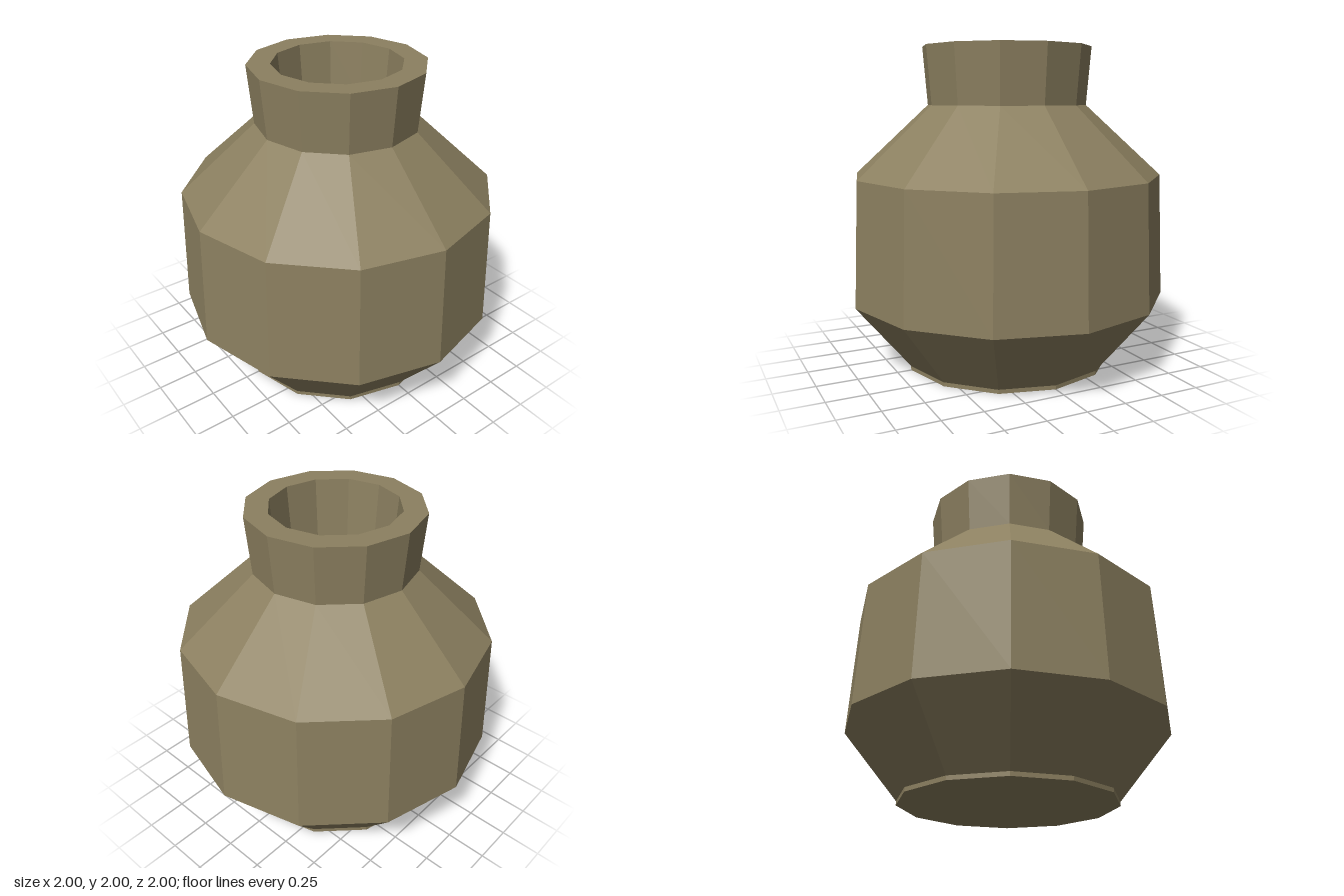
import * as THREE from 'three';

const SIDES = 12;

export function createModel() {
  const group = new THREE.Group();
  group.name = 'pot';
  const clay = new THREE.MeshStandardMaterial({ color: 0x8c8060, flatShading: true });

  // Turned part from [radius, height] pairs
  const turned = (name, profile) => {
    const points = profile.map(([r, y]) => new THREE.Vector2(r, y));
    const mesh = new THREE.Mesh(new THREE.LatheGeometry(points, SIDES), clay);
    mesh.name = name;
    group.add(mesh);
  };

  // Closed foot with a short upright edge
  turned('foot', [[0, 0], [0.66, 0], [0.66, 0.025]]);

  // Flared base, belly and sloping shoulder
  turned('body', [[0.66, 0.025], [1, 0.44], [0.97, 1.205], [0.5, 1.64]]);

  // Neck widening to a flat rim
  turned('neck', [[0.5, 1.64], [0.53, 2], [0.39, 2]]);

  // Inner wall of the mouth and its floor
  turned('mouth', [[0.39, 2], [0.36, 1.64], [0, 1.64]]);

  return group;
}
